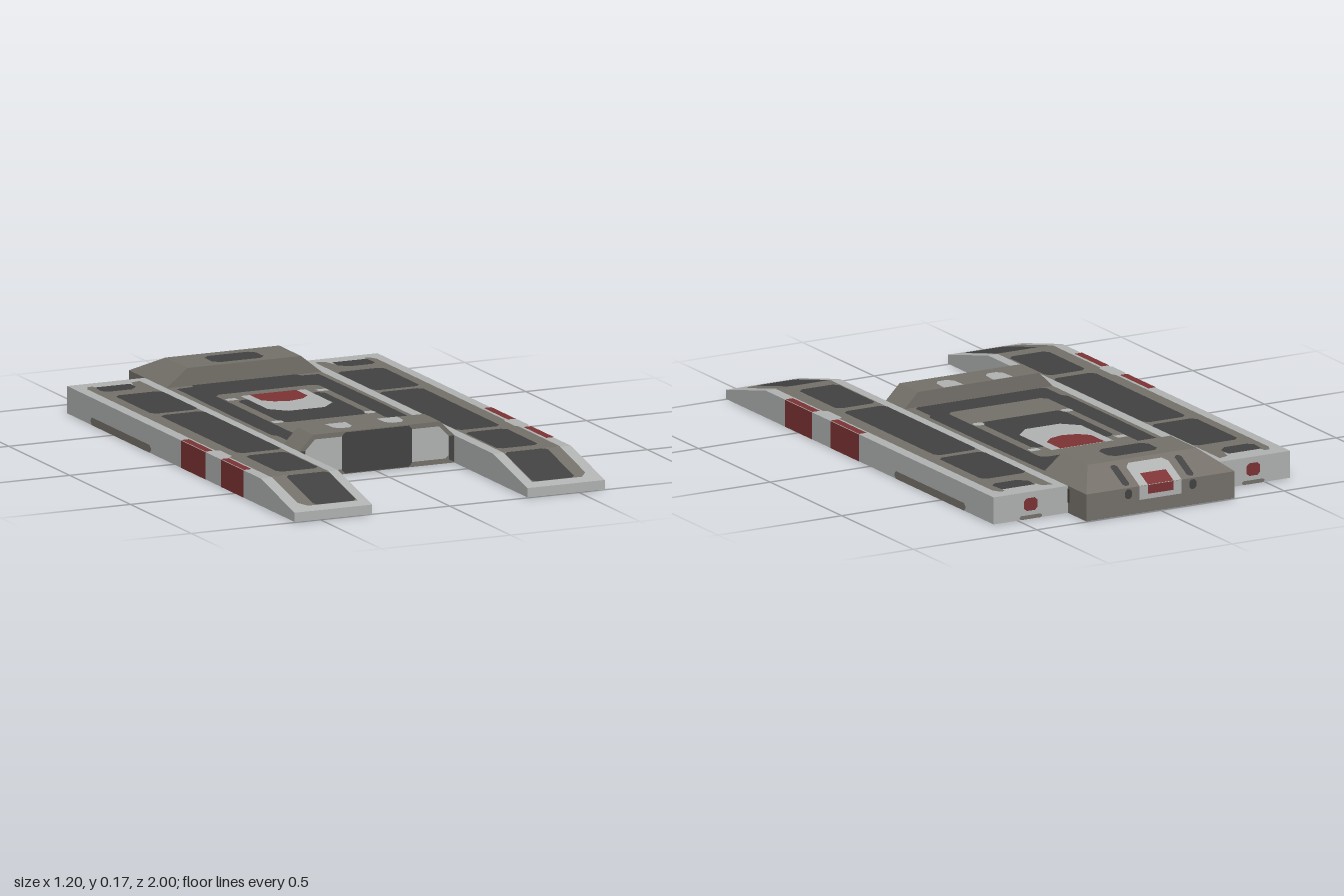
import * as THREE from 'three';
import { ConvexGeometry } from 'three/addons/geometries/ConvexGeometry.js';

const mat = (name, color) => Object.assign(new THREE.MeshStandardMaterial({ color }), { name });
const V = (x, y, z) => new THREE.Vector3(x, y, z);

// Flat surface that painted panels lie on: origin, two axes, outward normal = u x v
const face = (o, u, v) => ({ o, u, v, w: u.clone().cross(v).normalize() });

// Rectangle with cut corners
function rect(a0, a1, b0, b1, c = 0) {
  if (!c) return [[a0, b0], [a1, b0], [a1, b1], [a0, b1]];
  return [[a0 + c, b0], [a1 - c, b0], [a1, b0 + c], [a1, b1 - c],
    [a1 - c, b1], [a0 + c, b1], [a0, b1 - c], [a0, b0 + c]];
}
const toShape = pts => new THREE.Shape(pts.map(p => new THREE.Vector2(p[0], p[1])));

export function createModel() {
  const light = mat('lightGrey', 0xb0b3b2);
  const taupe = mat('taupe', 0x75716a);
  const dark = mat('darkGrey', 0x424242);
  const red = mat('darkRed', 0x7d3335);

  const root = new THREE.Group();
  root.name = 'flatForkedCraft';
  const add = (name, geo, material, parent = root) => {
    const m = new THREE.Mesh(geo, material);
    m.name = name;
    parent.add(m);
    return m;
  };

  // Painted panel on a face, stacked by layer
  function panel(name, f, pts, material, layer = 1, parent = root) {
    const geo = new THREE.ShapeGeometry(toShape(pts));
    const o = f.o.clone().addScaledVector(f.w, layer * 0.001);
    geo.applyMatrix4(new THREE.Matrix4().makeBasis(f.u, f.v, f.w).setPosition(o));
    return add(name, geo, material, parent);
  }

  const X = V(1, 0, 0), Y = V(0, 1, 0), Z = V(0, 0, 1);
  // Upward faces take points as (z, x)
  const top = y => face(V(0, y, 0), Z, X);
  const deckTop = top(0.1), barTop = top(0.155), blockTop = top(0.165);
  const railSlope = face(V(0, 0.2671, 0), V(0, -0.2321, 1), X);
  const blockSlope = face(V(0, 0.6, 0), V(0, 0.5, 1), X);
  const barFront = face(V(0, 0, 0.4), X, Y);
  const railRear = face(V(0, 0, -0.87), V(-1, 0, 0), Y);
  const blockRear = face(V(0, 0, -1), V(-1, 0, 0), Y);

  // Side rails
  const railProfile = toShape([[-0.87, 0.002], [1, 0.002], [1, 0.035], [0.72, 0.1], [-0.87, 0.1]]);
  for (const s of [1, -1]) {
    const rail = new THREE.Group();
    rail.name = s > 0 ? 'leftRail' : 'rightRail';
    root.add(rail);
    const geo = new THREE.ExtrudeGeometry(railProfile, { depth: 0.3, bevelEnabled: false });
    geo.rotateY(-Math.PI / 2); // profile z along +z, depth towards -x
    geo.translate(s > 0 ? 0.6 : -0.3, 0, 0);
    add('railBody', geo, light, rail);

    const mx = pts => pts.map(([a, b]) => [a, s * b]);
    const onTop = (name, f, pts, m, layer) => panel(name, f, mx(pts), m, layer, rail);
    onTop('railInlay', deckTop, [[-0.83, 0.34], [-0.82, 0.375], [-0.77, 0.39], [-0.77, 0.52],
      [-0.82, 0.525], [-0.82, 0.545], [-0.79, 0.56], [0.72, 0.56], [0.72, 0.338], [-0.83, 0.338]], taupe, 1);
    onTop('noseInlay', railSlope, [[0.72, 0.338], [0.96, 0.338], [0.96, 0.53], [0.93, 0.557], [0.72, 0.557]], taupe, 1);
    onTop('railPlate', deckTop, [[-0.8, 0.39], [-0.8, 0.525], [-0.74, 0.53], [-0.72, 0.51],
      [-0.72, 0.42], [-0.75, 0.39]], dark, 2);
    for (const [z0, z1, x0, x1] of [[-0.655, -0.34, 0.338, 0.52], [-0.31, 0.345, 0.338, 0.508],
      [0.385, 0.665, 0.345, 0.505]]) {
      onTop('railPlate', deckTop, rect(z0, z1, x0, x1, 0.018), dark, 2);
    }
    onTop('nosePlate', railSlope, rect(0.722, 0.96, 0.34, 0.505, 0.012), dark, 2);

    // Red side markings with a light tab between
    const side = s > 0 ? face(V(0.6, 0, 0), V(0, 0, -1), Y) : face(V(-0.6, 0, 0), Z, Y);
    const onSide = (name, z0, z1, y0, y1, m, c = 0) =>
      panel(name, side, s > 0 ? rect(-z1, -z0, y0, y1, c) : rect(z0, z1, y0, y1, c), m, 1, rail);
    for (const [z0, z1] of [[0.068, 0.268], [0.395, 0.583]]) {
      onTop('redMarkTop', deckTop, rect(z0, z1, 0.57, 0.6), red, 2);
      onSide('redMarkSide', z0, z1, 0.002, 0.1, red);
    }
    onTop('lightTab', deckTop, rect(0.27, 0.385, 0.548, 0.6, 0.012), light, 3);
    onSide('sideScuff', -0.675, -0.18, 0.002, 0.03, taupe, 0.01);

    // Rear lamp
    panel('rearLamp', railRear, rect(-s * 0.45 * -1 * -1 - 0.027, -s * 0.45 + 0.027, 0.032, 0.078, 0.01), red, 1, rail);
    panel('rearScuff', railRear, rect(-s * 0.45 - 0.045, -s * 0.45 + 0.045, 0.002, 0.016, 0.005), taupe, 1, rail);
  }

  // Underside
  const under = face(V(0, 0.001, 0), X, Z);
  panel('underside', under, [[-0.6, -0.87], [-0.3, -0.87], [-0.3, -1], [0.3, -1], [0.3, -0.87], [0.6, -0.87],
    [0.6, 1], [0.3, 1], [0.3, 0.4], [-0.3, 0.4], [-0.3, 1], [-0.6, 1]], taupe);

  // Centre deck
  const deck = new THREE.BoxGeometry(0.6, 0.098, 1.02);
  deck.translate(0, 0.051, -0.2);
  add('centreDeck', deck, taupe);
  panel('deckField', deckTop, [[-0.69, -0.2], [-0.69, 0.2], [-0.665, 0.21], [-0.66, 0.275], [-0.2, 0.28],
    [0.13, 0.28], [0.15, 0.265], [0.25, 0.265], [0.265, 0.25], [0.265, -0.25], [0.25, -0.265],
    [0.15, -0.265], [0.13, -0.28], [-0.2, -0.28], [-0.66, -0.275], [-0.665, -0.21]], dark, 1);
  panel('deckInlay', deckTop, rect(-0.515, 0.15, -0.2, 0.2, 0.02), taupe, 2);
  panel('hatch', deckTop, rect(-0.4, -0.02, -0.167, 0.167, 0.02), dark, 3);
  panel('hatchGuard', deckTop, [[-0.455, -0.125], [-0.455, 0.125], [-0.23, 0.125], [-0.175, 0.07],
    [-0.175, -0.07], [-0.23, -0.125]], light, 4);
  panel('hatchCover', deckTop, [[-0.455, -0.09], [-0.455, 0.09], [-0.36, 0.09], [-0.325, 0.055],
    [-0.31, 0], [-0.325, -0.055], [-0.36, -0.09]], red, 5);
  for (const s of [1, -1]) {
    panel('hatchClip', deckTop, rect(-0.435, -0.405, s * 0.175 - 0.02, s * 0.175 + 0.02), light, 4);
    panel('hatchClip', deckTop, rect(-0.055, -0.02, s * 0.178 - 0.02, s * 0.178 + 0.02, 0.008), light, 4);
  }

  // Front bar
  const barShape = toShape([[-0.3, 0.002], [0.3, 0.002], [0.3, 0.1], [0.245, 0.155], [-0.245, 0.155], [-0.3, 0.1]]);
  const bar = new THREE.ExtrudeGeometry(barShape, { depth: 0.13, bevelEnabled: false });
  bar.translate(0, 0, 0.27);
  add('frontBar', bar, taupe);
  panel('frontGrille', barFront, rect(-0.135, 0.135, 0.005, 0.152, 0.012), dark, 2);
  for (const s of [1, -1]) {
    panel('frontLight', barFront, [[0.12, 0.02], [0.265, 0.02], [0.277, 0.03], [0.277, 0.1], [0.24, 0.138],
      [0.12, 0.138]].map(([x, y]) => [s * x, y]), light, 1);
    panel('frontEdge', barFront, [[0.279, 0.015], [0.299, 0.005], [0.299, 0.099], [0.279, 0.1]]
      .map(([x, y]) => [s * x, y]), dark, 1);
    panel('barTab', barTop, [[0.271, s * 0.1 - 0.04], [0.33, s * 0.1 - 0.036], [0.352, s * 0.1 - 0.018],
      [0.352, s * 0.1 + 0.018], [0.33, s * 0.1 + 0.036], [0.271, s * 0.1 + 0.04]], light, 1);
  }

  // Rear block with sloped back and sides
  const corners = [];
  for (const s of [1, -1]) {
    corners.push(V(s * 0.3, 0.002, -0.69), V(s * 0.3, 0.002, -1), V(s * 0.3, 0.1, -0.69), V(s * 0.3, 0.1, -1),
      V(s * 0.22, 0.165, -0.69), V(s * 0.22, 0.165, -0.87));
  }
  add('rearBlock', new ConvexGeometry(corners), taupe);
  panel('blockHatch', blockTop, rect(-0.825, -0.72, -0.1, 0.1, 0.022), dark, 1);
  panel('tailFrame', blockSlope, rect(-1, -0.89, -0.085, 0.085, 0.018).map(([z, x]) => z < -0.97 ? [-1, x] : [z, x]), light, 1);
  panel('tailLampTop', blockSlope, rect(-1, -0.945, -0.052, 0.052), red, 2);
  panel('tailFrameRear', blockRear, rect(-0.085, 0.085, 0.05, 0.1), light, 1);
  panel('tailLampRear', blockRear, rect(-0.052, 0.052, 0.068, 0.1), red, 2);
  for (const s of [1, -1]) {
    panel('tailSlot', blockSlope, rect(-0.99, -0.89, s * 0.13 - 0.014, s * 0.13 + 0.014, 0.008), dark, 1);
    panel('tailSlotRear', blockRear, rect(s * 0.13 - 0.014, s * 0.13 + 0.014, 0.06, 0.095, 0.008), dark, 1);
    const side = s > 0 ? face(V(0.3, 0, 0), V(0, 0, -1), Y) : face(V(-0.3, 0, 0), Z, Y);
    panel('blockSideMark', side, s > 0 ? rect(0.871, 0.885, 0.04, 0.09) : rect(-0.885, -0.871, 0.04, 0.09), dark, 1);
  }
  return root;
}
